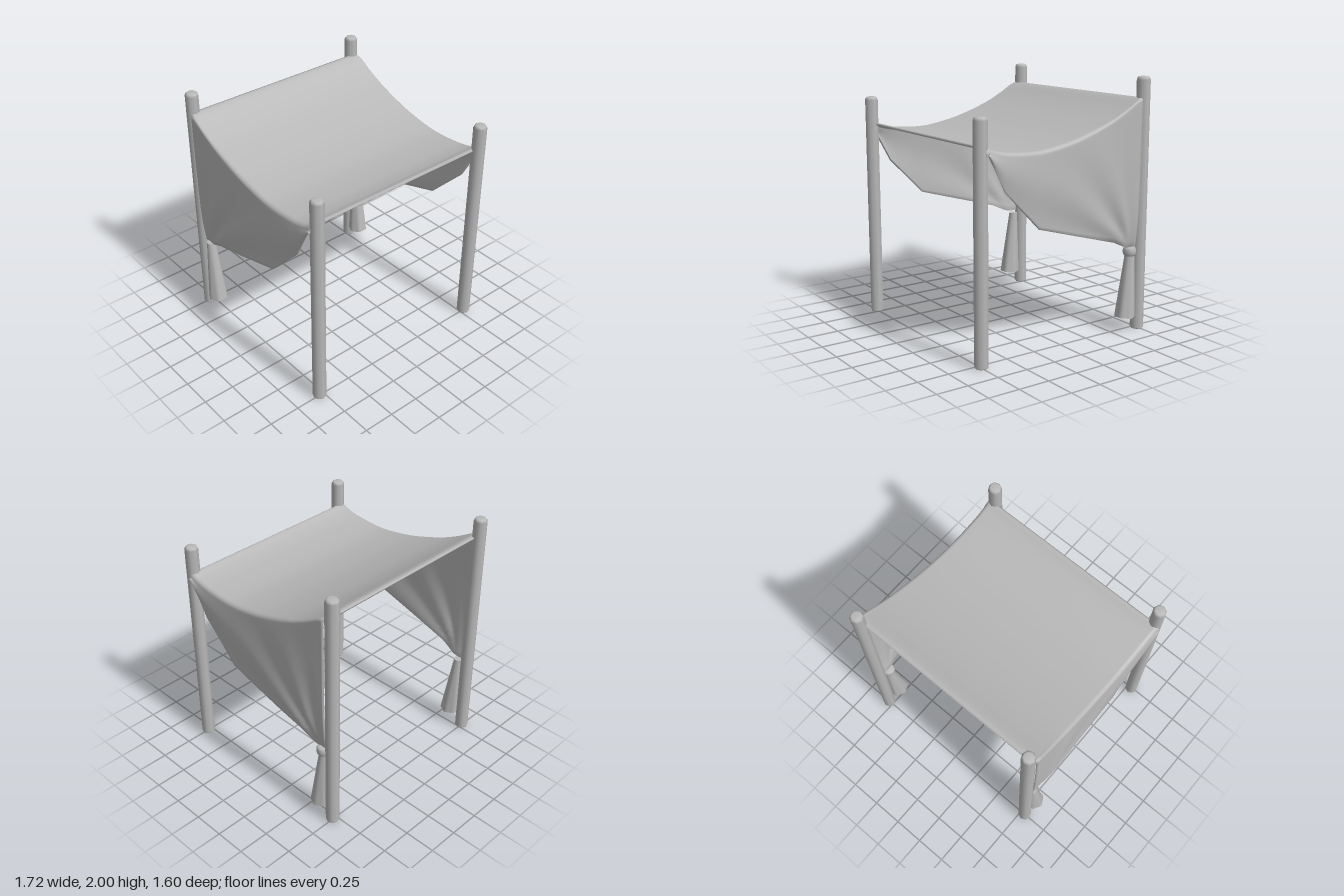
import * as THREE from 'three';

const V2 = (x, y) => new THREE.Vector2(x, y);

// Indexed grid surface with thickness; at(i, j) returns [x, y, z]
function thickGrid(rows, cols, thickness, at) {
  const w = cols + 1, count = (rows + 1) * w, pos = [], index = [];
  for (let i = 0; i <= rows; i++) for (let j = 0; j <= cols; j++) pos.push(...at(i, j));
  for (let i = 0; i < rows; i++) for (let j = 0; j < cols; j++) {
    const a = i * w + j, b = a + w;
    index.push(a, b, a + 1, b, b + 1, a + 1);
  }
  const g = new THREE.BufferGeometry();
  g.setAttribute('position', new THREE.Float32BufferAttribute(pos, 3));
  g.setIndex(index);
  g.computeVertexNormals();
  // Inner layer, facing the other way
  const n = g.attributes.normal.array;
  const inner = pos.map((p, k) => p - n[k] * thickness);
  const full = [...index];
  for (let k = 0; k < index.length; k += 3) {
    full.push(index[k] + count, index[k + 2] + count, index[k + 1] + count);
  }
  // Rim joining both layers
  const rim = (a, b) => full.push(a, b, a + count, b, b + count, a + count);
  for (let j = 0; j < cols; j++) {
    rim(j, j + 1);
    rim(rows * w + j + 1, rows * w + j);
  }
  for (let i = 0; i < rows; i++) {
    rim((i + 1) * w, i * w);
    rim(i * w + cols, (i + 1) * w + cols);
  }
  g.setAttribute('position', new THREE.Float32BufferAttribute([...pos, ...inner], 3));
  g.setIndex(full);
  g.deleteAttribute('normal');
  g.computeVertexNormals();
  return g;
}

// Roof line as z, y from front to back
const roofLine = new THREE.SplineCurve([
  V2(0.735, 1.58), V2(0.715, 1.588), V2(0.64, 1.56), V2(0.5, 1.535), V2(0.25, 1.527),
  V2(0, 1.565), V2(-0.2, 1.618), V2(-0.4, 1.688), V2(-0.55, 1.758), V2(-0.69, 1.835), V2(-0.735, 1.84),
]);

// Lower curtain edge as t, z, y from front to back
const hem = [
  [0, 0.72, 1.54], [0.12, 0.57, 1.26], [0.3, 0.27, 0.955],
  [0.76, -0.46, 0.745], [0.92, -0.6, 0.68], [1, -0.695, 0.675],
];
function hemAt(t) {
  let k = 0;
  while (k < hem.length - 2 && t > hem[k + 1][0]) k++;
  const [a, b] = [hem[k], hem[k + 1]];
  const f = (t - a[0]) / (b[0] - a[0]);
  return V2(a[1] + (b[1] - a[1]) * f, a[2] + (b[2] - a[2]) * f);
}

// One cloth: curtain, rounded shoulder, roof, shoulder, curtain
function clothGeometry() {
  const rows = 100, down = 24, round = 5, across = 8;
  const half = down + round, cols = 2 * half + across, r = 0.035;
  return thickGrid(rows, cols, 0.014, (i, j) => {
    const t = i / rows;
    const top = roofLine.getPointAt(t), low = hemAt(t);
    const side = j <= cols / 2 ? 1 : -1;
    const k = Math.min(j, cols - j);
    const topZ = top.x < 0 ? top.x * 0.952 : top.x;
    if (k >= half) return [0.8 - 1.6 * (j - half) / across, top.y, top.x];
    if (k > down) {
      const a = (k - down) / round * Math.PI / 2;
      return [
        side * (0.8 + r * Math.cos(a)),
        top.y - r * (1 - Math.sin(a)),
        top.x + (topZ - top.x) * Math.cos(a),
      ];
    }
    // Curtain with folds fanning out from the tie
    const v = 1 - k / down;
    const z = topZ + (low.x - topZ) * v;
    const y = (top.y - r) + (low.y - top.y + r) * v;
    const dz = z + 0.65, dy = y - 0.66;
    const dist = Math.hypot(dz, dy), angle = Math.atan2(dy, dz);
    const nearPost = THREE.MathUtils.smoothstep(z, -0.7, -0.5);
    const fold = 0.012 * Math.sin(angle * 12) * Math.sin(Math.PI * v * 0.75)
      * Math.min(1, dist * 4) * Math.exp(-dist * 0.6);
    const x = 0.835 + (0.012 * Math.sin(Math.PI * v) + fold) * nearPost - 0.045 * Math.exp(-dist * 6);
    return [side * x, y, z];
  });
}

// Round-topped octagonal post
function postGeometry(h) {
  const r = 0.053;
  return new THREE.LatheGeometry([
    V2(0, 0), V2(r - 0.006, 0), V2(r, 0.008), V2(r, h - 0.025),
    V2(r - 0.007, h - 0.008), V2(r - 0.018, h), V2(0, h),
  ], 8);
}

// Softly pleated, flaring cloth end below the tie
function tailGeometry() {
  const g = new THREE.CylinderGeometry(1, 1, 1, 48, 12);
  const p = g.attributes.position;
  for (let i = 0; i < p.count; i++) {
    const x = p.getX(i), z = p.getZ(i), d = 0.5 - p.getY(i);
    const pleat = 1 - 0.04 * d * (1 - Math.cos(Math.atan2(z, x) * 6));
    p.setXYZ(i,
      x * (0.036 + 0.044 * d) * pleat,
      0.66 - 0.545 * d - 0.007 * z * d,
      -0.66 + 0.04 * d + z * (0.034 + 0.05 * d) * pleat);
    if (z > 0) p.setY(i, p.getY(i) + 0.015 * z * d);
  }
  g.computeVertexNormals();
  return g;
}

export function createModel() {
  const model = new THREE.Group();
  const grey = new THREE.MeshStandardMaterial({ color: 0xb8b8b8, side: THREE.DoubleSide });
  grey.name = 'plain grey';
  const add = (name, geometry, x = 0, y = 0, z = 0) => {
    const mesh = new THREE.Mesh(geometry, grey);
    mesh.name = name;
    mesh.position.set(x, y, z);
    model.add(mesh);
  };

  add('canopyCloth', clothGeometry());

  for (const s of [1, -1]) {
    const side = s > 0 ? 'left' : 'right';
    add(side + 'FrontPost', postGeometry(1.8), s * 0.787, 0, 0.747);
    add(side + 'BackPost', postGeometry(2), s * 0.787, 0, -0.747);
    add(side + 'CurtainTail', tailGeometry(), s * 0.782);
  }

  // Only the left curtain has a visible knot
  add('leftCurtainTie', new THREE.LatheGeometry([
    V2(0, -0.035), V2(0.042, -0.035), V2(0.05, -0.022), V2(0.052, 0),
    V2(0.05, 0.022), V2(0.042, 0.035), V2(0, 0.035),
  ], 16), 0.785, 0.645, -0.65);
  return model;
}
